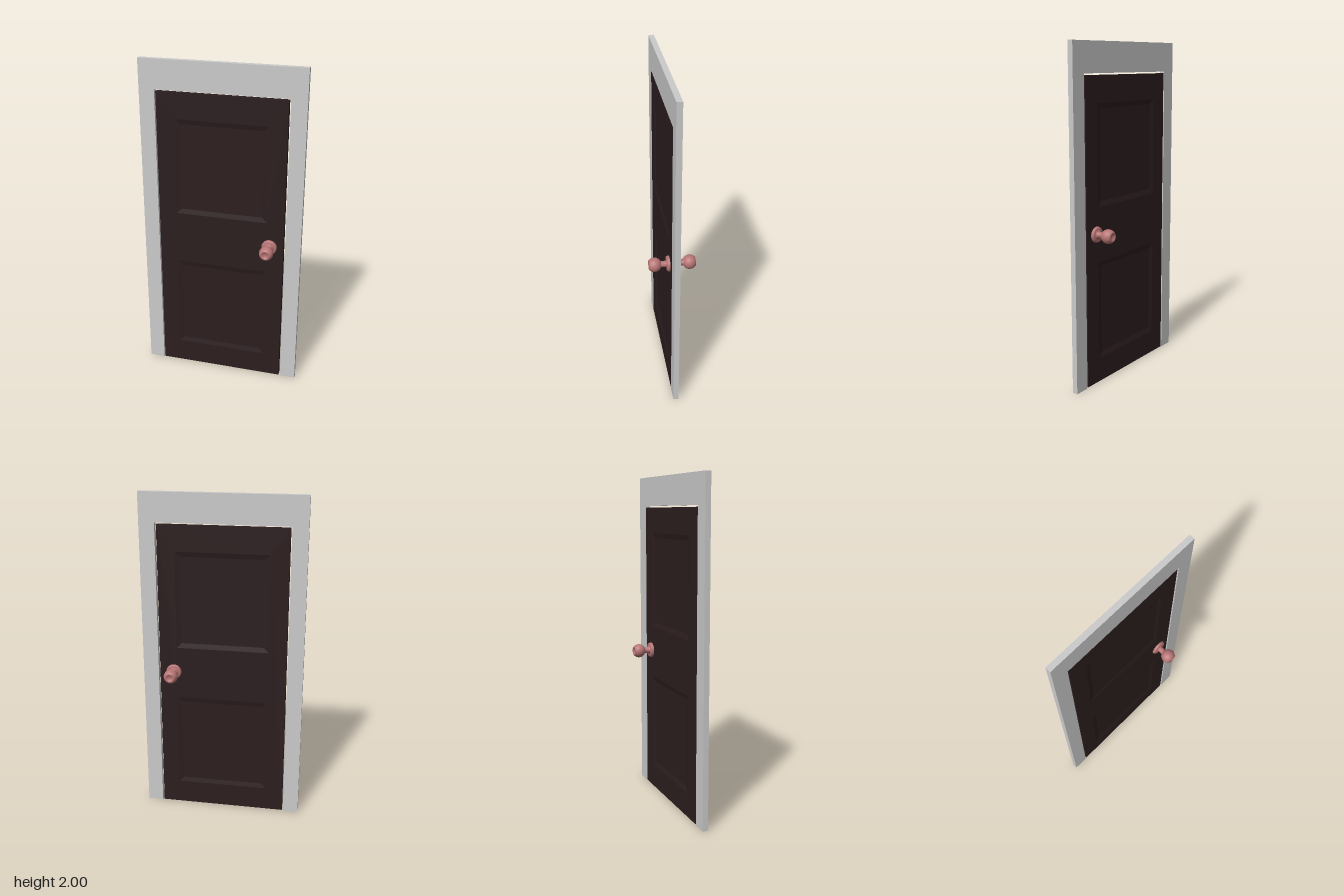
import * as THREE from 'three';

const HALF = 0.0165; // half thickness of frame
const DOOR = 0.0155; // half thickness of door leaf

const rectPoints = (x0, x1, y0, y1) =>
  [[x0, y0], [x1, y0], [x1, y1], [x0, y1]].map(([x, y]) => new THREE.Vector2(x, y));

function slab(shape, half) {
  const g = new THREE.ExtrudeGeometry(shape, { depth: half * 2, bevelEnabled: false });
  return g.translate(0, 0, -half);
}

// Sunken panel: a sloped border running in to a flat field
function panelGeometry(x0, x1, y0, y1, slope, depth) {
  const ring = (inset, z) => rectPoints(x0 + inset, x1 - inset, y0 + inset, y1 - inset).map(p => [p.x, p.y, z]);
  const outer = ring(0, DOOR), inner = ring(slope, DOOR - depth);
  const pos = [];
  const quad = (a, b, c, d) => pos.push(...a, ...b, ...c, ...a, ...c, ...d);
  for (let i = 0; i < 4; i++) {
    const j = (i + 1) % 4;
    quad(outer[i], outer[j], inner[j], inner[i]);
  }
  quad(...inner);
  const g = new THREE.BufferGeometry();
  g.setAttribute('position', new THREE.Float32BufferAttribute(pos, 3));
  g.computeVertexNormals();
  return g;
}

export function createModel() {
  const model = new THREE.Group();
  model.name = 'door';
  const grey = new THREE.MeshStandardMaterial({ color: 0xcccccc });
  const wood = new THREE.MeshStandardMaterial({ color: 0x2c1e1f });
  const copper = new THREE.MeshStandardMaterial({ color: 0xb87575 });
  const add = (parent, name, geometry, material) => {
    const mesh = new THREE.Mesh(geometry, material);
    mesh.name = name;
    parent.add(mesh);
    return mesh;
  };

  // Surround: two jambs and a header in one outline
  const outline = [[-0.49, 0], [-0.396, 0], [-0.396, 1.825], [0.396, 1.825],
    [0.396, 0], [0.49, 0], [0.49, 2], [-0.49, 2]];
  const surround = new THREE.Shape(outline.map(([x, y]) => new THREE.Vector2(x, y)));
  add(model, 'doorFrame', slab(surround, HALF), grey);

  // Leaf with an opening for each panel
  const panels = [['upperPanel', -0.28, 0.28, 1.07, 1.66], ['lowerPanel', -0.28, 0.28, 0.15, 0.745]];
  const leaf = new THREE.Shape(rectPoints(-0.389, 0.386, 0.003, 1.815));
  for (const [, ...r] of panels) leaf.holes.push(new THREE.Path(rectPoints(...r).reverse()));
  add(model, 'doorLeaf', slab(leaf, DOOR), wood);

  // Knob profile: rose plate, stem, ball with flat end and a small dimple
  const profile = [[0.046, 0], [0.047, 0.022], [0.043, 0.031], [0.037, 0.033], [0.018, 0.033], [0.018, 0.067]];
  for (let i = 0; i <= 10; i++) {
    const a = THREE.MathUtils.lerp(-1.03, 0.88, i / 10);
    profile.push([0.0425 * Math.cos(a), 0.103 + 0.0425 * Math.sin(a)]);
  }
  profile.push([0.025, 0.136], [0.016, 0.134], [0.013, 0.128], [0, 0.128]);
  const knob = new THREE.LatheGeometry(profile.map(([r, h]) => new THREE.Vector2(r, h)), 32);
  knob.rotateX(Math.PI / 2);

  // Panels and knob on both faces
  for (const side of ['front', 'back']) {
    const face = new THREE.Group();
    face.name = side + 'Face';
    if (side === 'back') face.rotation.y = Math.PI;
    for (const [name, ...r] of panels) add(face, name, panelGeometry(...r, 0.03, 0.007), wood);
    add(face, 'knob', knob, copper).position.set(side === 'back' ? -0.3 : 0.3, 0.915, 0);
    model.add(face);
  }
  return model;
}
